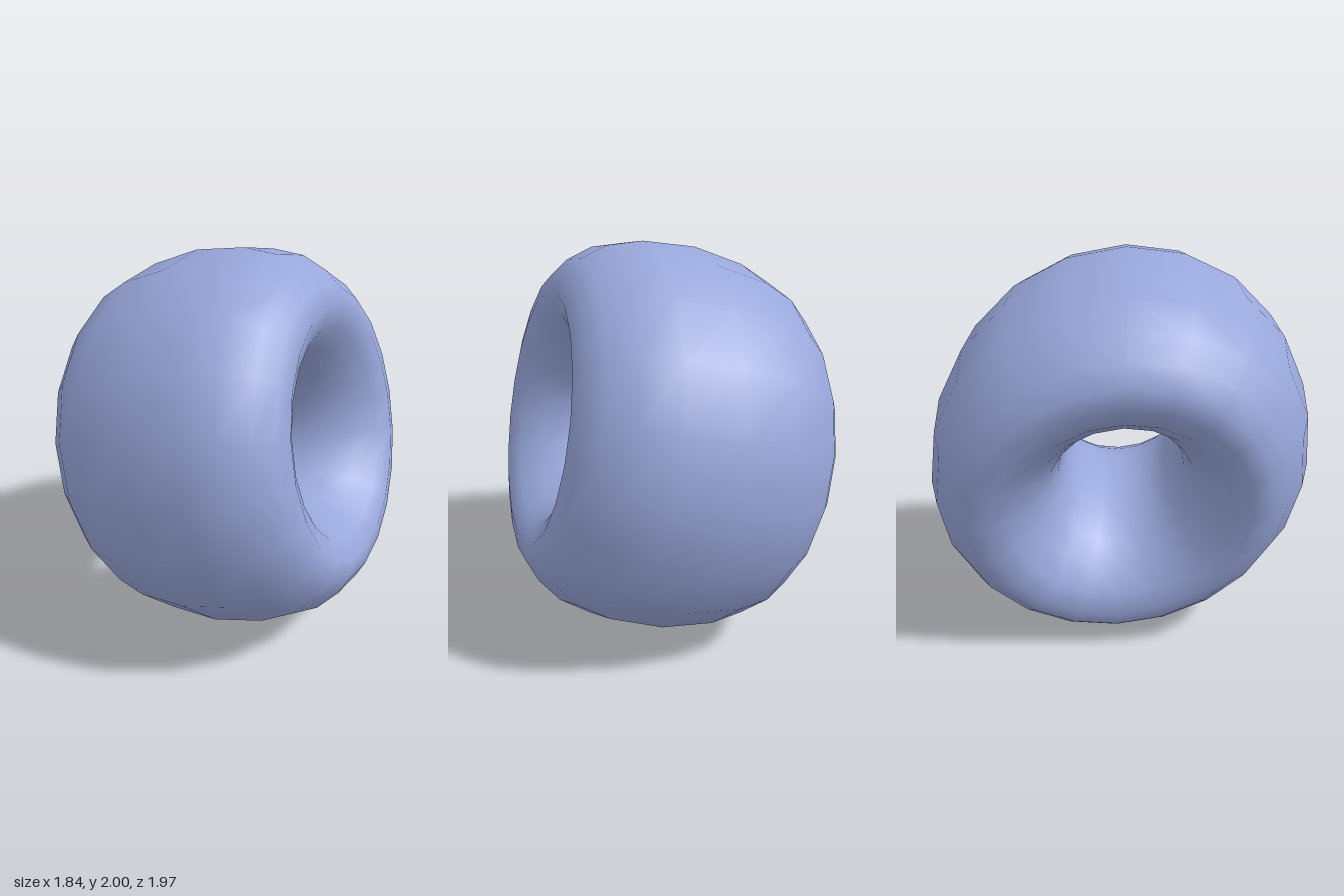
import * as THREE from 'three';

export function createModel() {
  const group = new THREE.Group();
  group.name = 'bead';
  const blue = new THREE.MeshStandardMaterial({ color: 0x98a6da });
  blue.name = 'periwinkle blue';

  // Half section of the ring, [radius, distance along the hole], throat to outer waist
  const half = [
    [0.302, 0.1], [0.32, 0.24], [0.362, 0.37], [0.435, 0.48], [0.525, 0.575],
    [0.625, 0.62], [0.72, 0.6], [0.805, 0.535], [0.895, 0.42], [0.952, 0.26],
  ];
  const section = [
    [0.3, 0],
    ...half.map(([r, u]) => [r, -u]),
    [0.982, 0],
    ...half.slice().reverse(),
    [0.3, 0],
  ].map(([r, u]) => new THREE.Vector2(r, u));

  // The ring is slightly skewed: its hole points front, left and up, not quite square to its face
  const across = new THREE.Vector3(0.588, -0.028, -0.802);
  const hole = new THREE.Vector3(0.787, 0.254, 0.637);
  const down = new THREE.Vector3(0.187, -0.979, 0.116);
  const geometry = new THREE.LatheGeometry(section, 20);
  geometry.applyMatrix4(new THREE.Matrix4().makeBasis(across, hole, down));
  geometry.translate(0, 1, 0);

  const ring = new THREE.Mesh(geometry, blue);
  ring.name = 'beadRing';
  group.add(ring);
  return group;
}
